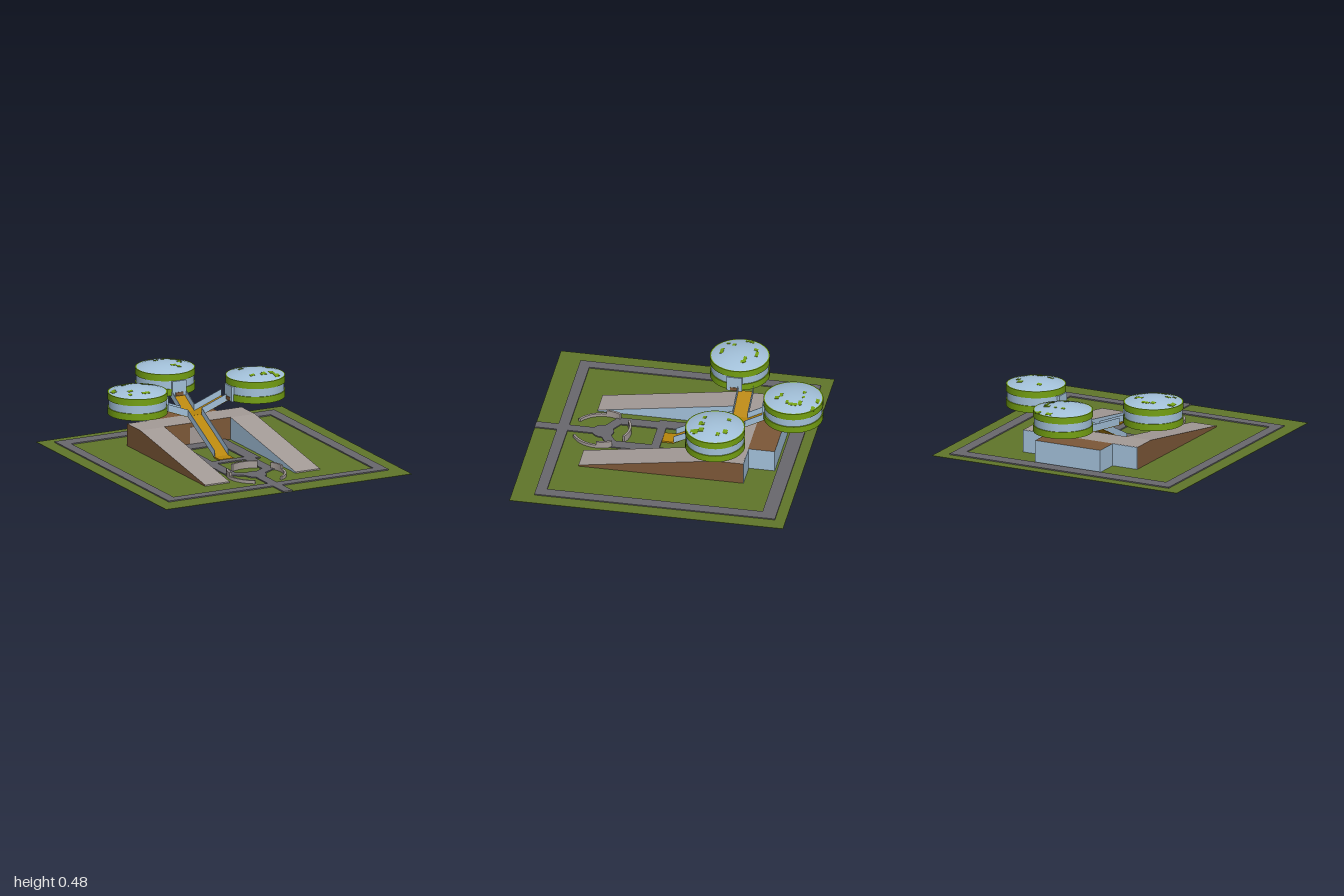
import * as THREE from 'three';

const mat = (name, color) => {
  const m = new THREE.MeshStandardMaterial({ color });
  m.name = name;
  return m;
};

export function createModel() {
  const grass = mat('grass', 0x60762a);
  const paving = mat('paving', 0x69686d);
  const concrete = mat('concrete', 0xa59c98);
  const brick = mat('brick', 0x7d5838);
  const glass = mat('glass', 0xa3c1da);
  const gold = mat('gold', 0xb8860b);
  const leaf = mat('leaf', 0x74a012);

  const model = new THREE.Group();
  model.name = 'pavilion';
  const CX = -0.01;

  const add = (parent, name, geo, material) => {
    const mesh = new THREE.Mesh(geo, material);
    mesh.name = name;
    parent.add(mesh);
    return mesh;
  };
  // Box given by its limits on each axis
  const block = (parent, name, material, x0, x1, y0, y1, z0, z1) => {
    const mesh = add(parent, name, new THREE.BoxGeometry(x1 - x0, y1 - y0, z1 - z0), material);
    mesh.position.set((x0 + x1) / 2, (y0 + y1) / 2, (z0 + z1) / 2);
    return mesh;
  };
  const shapeOf = (pts) => new THREE.Shape(pts.map(([x, y]) => new THREE.Vector2(x, y)));

  // Ground
  block(model, 'lawn', grass, -0.95, 0.95, 0, 0.003, -0.905, 1);

  // Paths: x0, x1, z0, z1
  const paths = new THREE.Group();
  paths.name = 'paths';
  model.add(paths);
  [
    [-0.848, -0.773, -0.83, 0.845], [0.773, 0.852, -0.83, 0.845],
    [-0.78, 0.78, -0.83, -0.73], [-0.78, 0.78, 0.77, 0.845],
    [-0.043, 0.027, 0.53, 1],
    [-0.195, -0.115, 0.15, 0.47], [0.095, 0.175, 0.15, 0.47],
    [-0.215, 0.215, 0.112, 0.172],
    [-0.215, -0.125, -0.34, 0.15], [0.12, 0.215, -0.34, 0.15],
    [-0.215, 0.215, -0.34, -0.23],
  ].forEach(([a, b, c, d]) => block(paths, 'path', paving, a, b, 0.001, 0.011, c, d));
  const hub = add(paths, 'pathHub', new THREE.CylinderGeometry(0.075, 0.075, 0.01, 24), paving);
  hub.position.set(CX, 0.006, 0.53);
  for (const s of [-1, 1]) {
    const link = add(paths, 'diagonalPath', new THREE.BoxGeometry(0.17, 0.01, 0.07), paving);
    link.position.set(CX + s * 0.09, 0.006, 0.475);
    link.rotation.y = s * 0.55;
  }

  // Curved walls around the path hub: start degrees, end degrees, height
  const rad = THREE.MathUtils.degToRad;
  [[60, 120, 0.05], [149, 180, 0.048], [180, 240, 0.022], [0, 31, 0.048], [-60, 0, 0.022]]
    .forEach(([a, b, h]) => {
      const shape = new THREE.Shape();
      shape.absarc(0, 0, 0.206, rad(a), rad(b), false);
      shape.absarc(0, 0, 0.19, rad(b), rad(a), true);
      const geo = new THREE.ExtrudeGeometry(shape, { depth: h, bevelEnabled: false, curveSegments: 12 });
      geo.rotateX(-Math.PI / 2);
      add(model, 'curvedWall', geo, concrete).position.set(CX, 0.003, 0.54);
    });

  // Main building: two sloping wings joined by a middle block
  const wing = shapeOf([[-0.53, 0.001], [0.615, 0.001], [0.615, 0.012], [-0.335, 0.16], [-0.53, 0.16]]);
  const wingSlice = (name, x, depth, caps, sides) => {
    const geo = new THREE.ExtrudeGeometry(wing, { depth, bevelEnabled: false });
    geo.rotateY(-Math.PI / 2);
    add(model, name, geo, [caps, sides]).position.x = x + depth;
  };
  wingSlice('leftWing', 0.258, 0.184, brick, concrete);
  wingSlice('leftWingGlazing', 0.254, 0.004, glass, concrete);
  wingSlice('rightWing', -0.445, 0.184, brick, concrete);
  wingSlice('rightWingGlazing', -0.261, 0.004, glass, concrete);
  block(model, 'middleBlock', [brick, brick, concrete, brick, brick, glass],
    -0.257, 0.254, 0.001, 0.16, -0.53, -0.34);
  block(model, 'backGlazing', glass, -0.445, 0.442, 0.001, 0.159, -0.534, -0.53);
  block(model, 'rearBlock', [glass, glass, brick, brick, glass, glass],
    -0.255, 0.25, 0.001, 0.16, -0.715, -0.53);
  block(model, 'frontDoor', concrete, -0.06, 0.055, 0.005, 0.13, -0.34, -0.334);

  // Raised walkways: gold floors with thin glass sides, running out from a crossing
  const W = 0.108;
  const crossing = new THREE.Group();
  crossing.name = 'walkways';
  crossing.position.set(CX, 0, -0.415);
  model.add(crossing);
  block(crossing, 'crossingFloor', gold, -W / 2, W / 2, 0.197, 0.205, -0.055, 0.055);
  const strip = (parent, name, material, s0, y0, s1, y1, low, high, width, offset) => {
    const geo = new THREE.ExtrudeGeometry(
      shapeOf([[s0, y0 + low], [s1, y1 + low], [s1, y1 + high], [s0, y0 + high]]),
      { depth: width, bevelEnabled: false });
    geo.translate(0, 0, offset - width / 2);
    add(parent, name, geo, material);
  };
  const walkway = (name, angle, s1, y1) => {
    const g = new THREE.Group();
    g.name = name;
    g.rotation.y = angle;
    crossing.add(g);
    strip(g, 'floor', gold, 0.054, 0.205, s1, y1, -0.008, 0, W, 0);
    for (const s of [-1, 1]) {
      strip(g, 'sideGlass', glass, 0.054, 0.205, s1, y1, -0.004, 0.045, 0.004, s * (W / 2 - 0.001));
    }
  };
  walkway('frontWalkway', -Math.PI / 2, 0.445, 0.014);
  walkway('leftWalkway', 0, 0.262, 0.285);
  walkway('rightWalkway', Math.PI, 0.262, 0.285);
  walkway('backWalkway', Math.PI / 2, 0.2, 0.285);
  block(crossing, 'walkwayFoot', gold, -W / 2, W / 2, 0.004, 0.014, 0.44, 0.525);

  // Round pods with domed roofs and small planted patches
  const R = 0.56, capR = 0.197, capY = 0.441;
  const theta = Math.asin(capR / R), drop = R * Math.cos(theta);
  const drum = (g, name, material, r, y0, y1) => {
    add(g, name, new THREE.CylinderGeometry(r, r, y1 - y0, 32), material).position.y = (y0 + y1) / 2;
  };
  const pod = (name, x, z, doorAngle, patches) => {
    const g = new THREE.Group();
    g.name = name;
    g.position.set(x, 0, z);
    model.add(g);
    drum(g, 'lowerBand', leaf, 0.206, 0.289, 0.337);
    drum(g, 'windowRing', glass, 0.199, 0.337, 0.394);
    drum(g, 'upperBand', leaf, 0.206, 0.394, 0.441);
    const cap = () => new THREE.SphereGeometry(R, 32, 6, 0, Math.PI * 2, 0, theta);
    add(g, 'roofDome', cap(), glass).position.y = capY - drop;
    const belly = add(g, 'belly', cap(), leaf);
    belly.rotation.x = Math.PI;
    belly.position.y = 0.289 + drop;
    const up = new THREE.Vector3(0, 1, 0);
    patches.forEach(([px, pz, w, d]) => {
      const n = new THREE.Vector3(px, Math.sqrt(R * R - px * px - pz * pz), pz).normalize();
      const p = add(g, 'plantedPatch', new THREE.BoxGeometry(w, 0.003, d), leaf);
      p.position.copy(n).multiplyScalar(R);
      p.position.y += capY - drop;
      p.quaternion.setFromUnitVectors(up, n);
    });
    const door = new THREE.Group();
    door.name = 'entrance';
    door.rotation.y = doorAngle;
    g.add(door);
    block(door, 'entranceGlass', glass, 0.17, 0.21, 0.285, 0.392, -0.053, 0.053);
    block(door, 'entranceDoor', brick, 0.21, 0.213, 0.287, 0.312, -0.03, 0.03);
  };
  pod('backPod', CX, -0.796, -Math.PI / 2, [
    [0.02, -0.172, 0.045, 0.025], [0.11, -0.155, 0.04, 0.025], [-0.038, -0.07, 0.028, 0.022],
    [0.02, -0.075, 0.022, 0.016], [0.09, -0.062, 0.045, 0.025], [0.112, -0.015, 0.025, 0.06],
    [0.095, 0.026, 0.03, 0.02], [0.022, 0.08, 0.04, 0.022], [0.05, 0.105, 0.028, 0.03],
  ]);
  pod('rightPod', -0.466, -0.337, 0, [
    [0, -0.118, 0.06, 0.022], [-0.053, -0.103, 0.03, 0.028], [0.085, -0.05, 0.06, 0.022],
    [0.108, -0.04, 0.025, 0.03], [-0.168, -0.035, 0.03, 0.05], [-0.155, -0.06, 0.025, 0.025],
    [-0.085, 0.055, 0.035, 0.025], [-0.11, 0.1, 0.025, 0.025], [0, 0.125, 0.06, 0.025],
  ]);
  pod('leftPod', 0.445, -0.337, Math.PI, [
    [-0.07, -0.085, 0.032, 0.028], [0.078, -0.085, 0.04, 0.032], [0.115, -0.04, 0.03, 0.025],
    [-0.068, 0.085, 0.035, 0.025], [0.012, 0.1, 0.045, 0.022], [0.02, 0.085, 0.025, 0.03],
    [0.082, 0.082, 0.04, 0.035], [0.1, 0.118, 0.045, 0.035], [0.09, 0.145, 0.025, 0.02],
  ]);

  return model;
}
